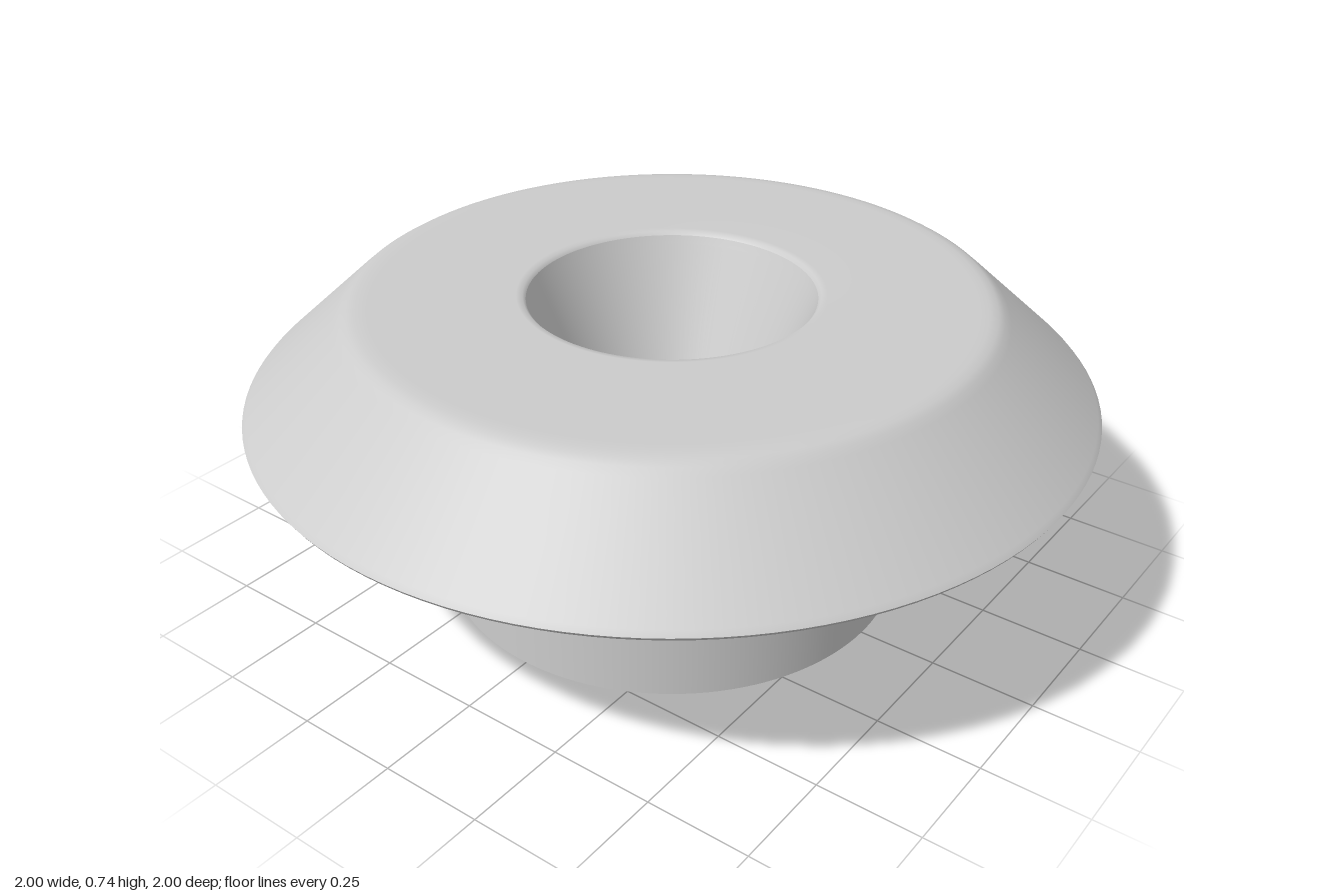
import * as THREE from 'three';

// Thin-walled turned shell: open collar, flared body, flat top and central funnel
export function createModel() {
  const group = new THREE.Group();
  group.name = 'flaredRing';
  const material = new THREE.MeshStandardMaterial({ color: 0xcccccc, side: THREE.DoubleSide });

  // Each part is a [radius, height] profile spun around y
  const addLathe = (name, profile) => {
    const points = profile.map(([r, y]) => new THREE.Vector2(r, y));
    const mesh = new THREE.Mesh(new THREE.LatheGeometry(points, 128), material);
    mesh.name = name;
    group.add(mesh);
  };

  // Collar, softly turning into the flared underside
  addLathe('collarAndUnderside', [
    [0.56, 0], [0.56, 0.16], [0.56, 0.175], [0.565, 0.19], [0.58, 0.205],
    [0.60, 0.22], [0.98, 0.482], [0.995, 0.492], [1, 0.5],
  ]);

  // Sloping shoulder, rounded edge and flat top
  addLathe('shoulderAndTop', [
    [1, 0.5], [0.99, 0.512], [0.775, 0.708], [0.76, 0.721], [0.745, 0.73], [0.725, 0.734],
    [0.70, 0.735], [0.36, 0.735], [0.345, 0.733], [0.338, 0.725],
  ]);

  // Funnel narrowing down to the open hole
  addLathe('funnel', [[0.338, 0.725], [0.33, 0.706], [0.205, 0.42], [0.196, 0.40]]);

  return group;
}
